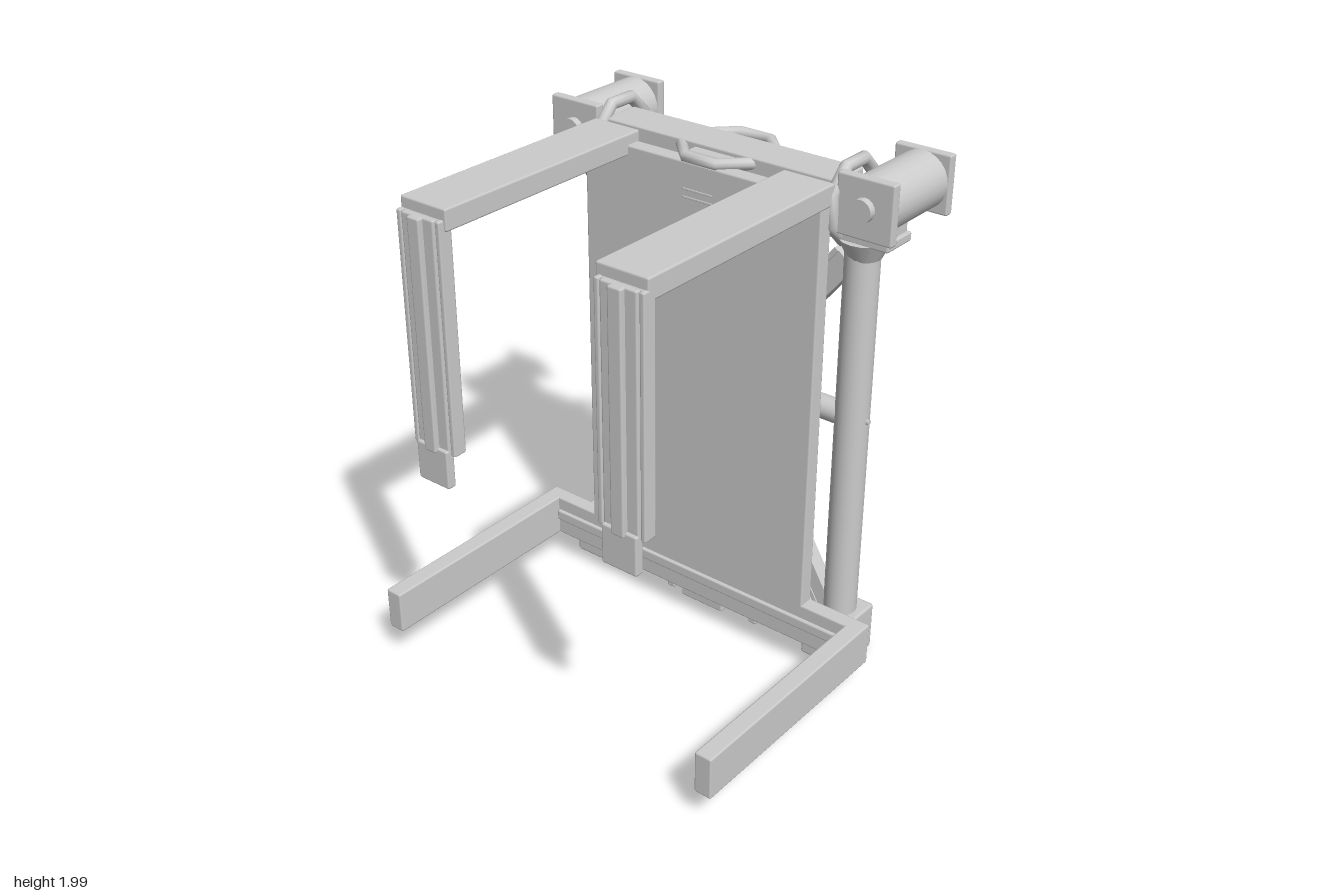
import * as THREE from 'three';
import { RoundedBoxGeometry } from 'three/addons/geometries/RoundedBoxGeometry.js';

export function createModel() {
  const root = new THREE.Group();
  const grey = new THREE.MeshStandardMaterial({ color: 0xcccccc });
  grey.name = 'light grey';

  const add = (name, geometry, x = 0, y = 0, z = 0) => {
    const mesh = new THREE.Mesh(geometry, grey);
    mesh.name = name;
    mesh.position.set(x, y, z);
    root.add(mesh);
    return mesh;
  };
  // Box given by its limits on each axis, with softened edges
  const box = (name, x0, x1, y0, y1, z0, z1, r = 0.008) => {
    const w = x1 - x0, h = y1 - y0, d = z1 - z0;
    const radius = Math.min(r, w / 3, h / 3, d / 3);
    return add(name, new RoundedBoxGeometry(w, h, d, 1, radius),
      (x0 + x1) / 2, (y0 + y1) / 2, (z0 + z1) / 2);
  };
  // The same box on one side of the model (s = 1 or -1)
  const sideBox = (s, name, x0, x1, ...rest) =>
    s > 0 ? box(name, x0, x1, ...rest) : box(name, -x1, -x0, ...rest);
  // Cylinder along an axis
  const rod = (name, axis, r, length, x, y, z, sides = 24) => {
    const g = new THREE.CylinderGeometry(r, r, length, sides);
    if (axis === 'x') g.rotateZ(Math.PI / 2);
    if (axis === 'z') g.rotateX(Math.PI / 2);
    return add(name, g, x, y, z);
  };
  // Bar with raised rails running between two points in the x-y plane
  const brace = (name, x0, y0, x1, y1, z, width) => {
    const group = new THREE.Group();
    group.name = name;
    const length = Math.hypot(x1 - x0, y1 - y0);
    const piece = (w, d, x, dz) => {
      const m = new THREE.Mesh(new THREE.BoxGeometry(w, length, d), grey);
      m.name = 'braceStrip';
      m.position.set(x, 0, dz);
      group.add(m);
    };
    piece(width, 0.03, 0, 0);
    for (const s of [-1, 1]) piece(0.018, 0.06, s * (width / 2 - 0.009), -0.01);
    group.position.set((x0 + x1) / 2, (y0 + y1) / 2, z);
    group.rotation.z = Math.atan2(y1 - y0, x1 - x0) - Math.PI / 2;
    root.add(group);
  };

  // Back panel, spine and top beam
  box('backPanel', -0.51, 0.51, 0.14, 1.91, -0.265, -0.203);
  box('spine', -0.1, 0.1, 0.05, 1.8, -0.44, -0.26);
  box('topBeam', -0.5, 0.5, 1.74, 1.945, -0.465, -0.3);
  box('beamBackPlate', -0.46, 0.46, 1.755, 1.93, -0.475, -0.45, 0.004);
  box('beamJoint', -0.09, 0.09, 1.75, 1.93, -0.305, -0.26);
  for (const y of [1.78, 1.81]) box('panelSlot', -0.065, 0.065, y - 0.004, y + 0.004, -0.206, -0.2);
  for (const y of [0.33, 1.29, 1.52]) rod('spineBolt', 'z', 0.02, 0.04, 0, y, -0.447, 12);

  // Lower frame with ribbed front bar
  box('lowerBar', -0.77, 0.77, 0.13, 0.3, -0.265, -0.203);
  box('lowerBarRib', -0.7, 0.7, 0.2, 0.245, -0.22, -0.19);
  // Roller along the bottom
  rod('bottomAxle', 'x', 0.045, 1.0, 0, 0.11, -0.4);
  rod('bottomRoller', 'x', 0.08, 0.4, 0, 0.1, -0.41);

  // Carry handle: eight-sided ring around the beam
  const octagon = (R, r) => new THREE.TorusGeometry(R, r, 10, 8).rotateZ(Math.PI / 8);
  add('centreHandle', octagon(0.172, 0.022).rotateX(Math.PI / 2), 0, 1.92, -0.38);

  // Middle cross bar
  rod('crossBar', 'x', 0.045, 1.08, 0, 1.05, -0.38);

  // Tank with rims, sleeve and mounting plate
  box('tankMount', -0.11, 0.11, 0.51, 0.975, -0.465, -0.435);
  const tankProfile = [
    [0, 0.585], [0.13, 0.585], [0.155, 0.578], [0.164, 0.59], [0.164, 0.61], [0.155, 0.62], [0.14, 0.625],
    [0.14, 0.73], [0.151, 0.73], [0.151, 1.14], [0.14, 1.14],
    [0.14, 1.24], [0.155, 1.242], [0.164, 1.252], [0.164, 1.272], [0.155, 1.284], [0.13, 1.28], [0, 1.28],
  ].map(([r, y]) => new THREE.Vector2(r, y));
  const tank = new THREE.LatheGeometry(tankProfile, 20);
  add('tank', tank, 0, 0, -0.572);

  for (const s of [-1, 1]) {
    // Lower forward arm
    sideBox(s, 'lowerArm', 0.7, 0.77, 0.13, 0.3, -0.265, 0.69);

    // Upper arm with hanging ribbed drop and tip
    sideBox(s, 'upperArm', 0.31, 0.515, 1.87, 1.95, -0.27, 0.69);
    sideBox(s, 'dropBack', 0.32, 0.515, 1.05, 1.91, 0.655, 0.695);
    sideBox(s, 'dropFront', 0.345, 0.49, 1.05, 1.91, 0.69, 0.715);
    sideBox(s, 'dropRidge', 0.39, 0.445, 1.05, 1.91, 0.7, 0.735);
    for (const x of [0.33, 0.505]) sideBox(s, 'dropEdge', x - 0.01, x + 0.01, 1.05, 1.91, 0.68, 0.712);
    sideBox(s, 'dropTip', 0.345, 0.49, 0.92, 1.07, 0.69, 0.727);

    // Column, foot block and flared head
    rod('column', 'y', 0.063, 1.56, s * 0.568, 0.96, -0.38);
    sideBox(s, 'footBlock', 0.47, 0.66, 0.03, 0.228, -0.475, -0.27, 0.012);
    add('columnHead', new THREE.CylinderGeometry(0.095, 0.06, 0.07, 16), s * 0.575, 1.705, -0.38);
    rod('columnScrew', 'x', 0.01, 0.02, s * 0.63, 1.05, -0.38, 8);
    sideBox(s, 'motorPlate', 0.49, 0.705, 1.735, 1.77, -0.46, -0.31);
    sideBox(s, 'motorSaddle', 0.51, 0.69, 1.75, 1.82, -0.455, -0.32);

    // Motor with square end plates and shaft
    rod('motorBody', 'z', 0.105, 0.36, s * 0.625, 1.883, -0.47);
    rod('motorShaft', 'z', 0.042, 0.445, s * 0.625, 1.883, -0.472, 16);
    sideBox(s, 'motorRearPlate', 0.515, 0.735, 1.772, 1.99, -0.665, -0.628);
    sideBox(s, 'motorFrontPlate', 0.515, 0.735, 1.772, 1.99, -0.315, -0.277);

    // Side strap ring around the beam end
    add('beamStrap', octagon(0.14, 0.024).rotateY(Math.PI / 2), s * 0.505, 1.853, -0.4);
    rod('beamBolt', 'z', 0.02, 0.04, s * 0.205, 1.85, -0.485, 12);

    // Diagonal braces
    brace('upperBrace', s * 0.52, 1.66, s * 0.07, 1.1, -0.36, 0.1);
    brace('lowerBrace', s * 0.52, 0.22, s * 0.08, 0.95, -0.36, 0.08);

    // Roller flange
    sideBox(s, 'rollerFlange', 0.185, 0.222, 0.01, 0.19, -0.5, -0.32);
  }

  return root;
}
